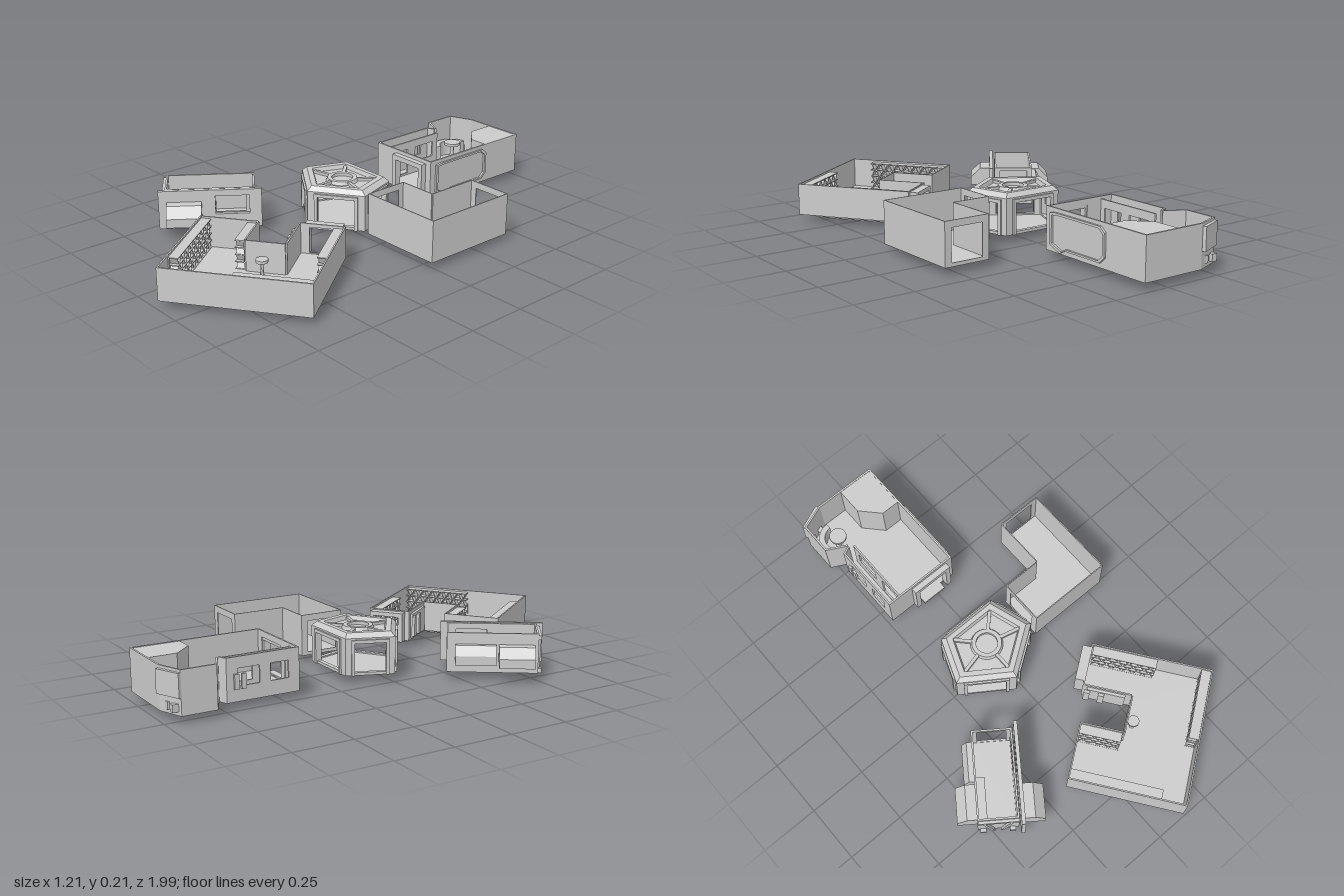
import * as THREE from 'three';

const mat = new THREE.MeshStandardMaterial({ color: 0xcccccc, flatShading: true, side: THREE.DoubleSide });
const BASE = 0.03;

function add(parent, name, geo, x = 0, y = 0, z = 0, ry = 0) {
  const m = new THREE.Mesh(geo, mat);
  m.name = name;
  m.position.set(x, y, z);
  m.rotation.y = ry;
  parent.add(m);
  return m;
}

// Box given by its two extreme corners
function box(parent, name, x0, x1, y0, y1, z0, z1) {
  return add(parent, name, new THREE.BoxGeometry(x1 - x0, y1 - y0, z1 - z0),
    (x0 + x1) / 2, (y0 + y1) / 2, (z0 + z1) / 2);
}

const outline = (pts) => new THREE.Shape(pts.map(([x, z]) => new THREE.Vector2(x, -z)));

// Horizontal slab from a plan outline of [x, z] points
function slab(parent, name, pts, y0, y1, hole) {
  const s = outline(pts);
  if (hole) s.holes.push(outline(hole));
  const g = new THREE.ExtrudeGeometry(s, { depth: y1 - y0, bevelEnabled: false, curveSegments: 20 });
  g.rotateX(-Math.PI / 2);
  return add(parent, name, g, 0, y0, 0);
}

// Upright wall from p to q, thickened inward, with openings [from, to, bottom, top]
function wall(parent, name, p, q, y0, y1, openings = [], t = 0.008) {
  const dx = q[0] - p[0], dz = q[1] - p[1], L = Math.hypot(dx, dz);
  const rect = (C, a, b, c, d) => new C([[a, c], [b, c], [b, d], [a, d]].map((v) => new THREE.Vector2(...v)));
  const s = rect(THREE.Shape, 0, L, y0, y1);
  for (const [a, b, c, d] of openings) s.holes.push(rect(THREE.Path, a * L, b * L, c, d));
  const g = new THREE.ExtrudeGeometry(s, { depth: t, bevelEnabled: false });
  return add(parent, name, g, p[0], 0, p[1], -Math.atan2(dz, dx));
}

// Open-topped room: floor plus one wall per edge (clockwise in plan)
function room(parent, pts, top, openings = {}, t) {
  slab(parent, 'floor', pts, BASE, BASE + 0.006);
  pts.forEach((p, i) => wall(parent, 'wall', p, pts[(i + 1) % pts.length], BASE, top, openings[i], t));
}

function group(parent, name, x = 0, z = 0, ry = 0) {
  const g = new THREE.Group();
  g.name = name;
  g.position.set(x, 0, z);
  g.rotation.y = ry;
  parent.add(g);
  return g;
}

// Shelf rack running along local x, depth along z
function rack(parent, x, z, ry, len, depth = 0.04, top = 0.155) {
  const r = group(parent, 'rack', x, z, ry), rows = 4, h = (top - 0.036) / rows;
  box(r, 'rackBack', 0, len, 0.036, top, 0, 0.004);
  for (let i = 0; i <= rows; i++) box(r, 'shelf', 0, len, 0.036 + i * h - 0.002, 0.036 + i * h + 0.002, 0, depth);
  const n = Math.round(len / 0.022);
  for (let j = 0; j < rows; j++) for (let i = 0; i < n; i++) {
    const b = box(r, 'divider', -0.0015, 0.0015, -h / 2, h / 2, 0, depth - 0.004);
    b.position.x = (i + 0.5) * len / n;
    b.position.y = 0.036 + (j + 0.5) * h;
    b.rotation.z = (i + j) % 2 ? 0.45 : -0.45;
  }
}

function stool(parent, x, z, r, y) {
  const s = group(parent, 'stool', x, z);
  const pts = [[0, BASE], [r * 0.7, BASE], [r * 0.25, BASE + 0.012], [r * 0.25, y - 0.02], [r, y - 0.012], [r, y], [0, y]];
  add(s, 'pedestal', new THREE.LatheGeometry(pts.map((p) => new THREE.Vector2(...p)), 20));
}

// Three-sided door surround standing along local x
function doorFrame(parent, x0, x1, z0, z1, top, w = 0.018) {
  box(parent, 'doorJamb', x0, x0 + w, BASE, top, z0, z1);
  box(parent, 'doorJamb', x1 - w, x1, BASE, top, z0, z1);
  box(parent, 'doorLintel', x0 + w, x1 - w, top - w, top, z0, z1);
}

function buildCorridor(root) {
  const g = group(root, 'cornerCorridor');
  room(g, [[0.36, -0.41], [0.56, -0.41], [0.56, 0.015], [0.19, 0.015], [0.19, -0.18], [0.36, -0.18]], 0.208,
    { 0: [[0.15, 0.85, 0.045, 0.18]], 3: [[0.15, 0.85, 0.045, 0.18]] }, 0.004);
}

function buildHub(root) {
  const g = group(root, 'hub', -0.035, -0.04);
  const P = [[-0.13, -0.14], [0.14, -0.14], [0.2, 0.05], [0, 0.19], [-0.205, 0.05]];
  const sc = (k) => P.map(([x, z]) => [x * k, z * k]);
  slab(g, 'floor', P, BASE, BASE + 0.006);
  P.forEach((p, i) => {
    const q = P[(i + 1) % 5];
    wall(g, 'doorWall', p, q, BASE, 0.185, [[0.17, 0.83, 0.042, 0.165]], 0.02);
    // raised door surround
    const a = Math.atan2(q[1] - p[1], q[0] - p[0]), L = Math.hypot(q[0] - p[0], q[1] - p[1]);
    const f = group(g, 'doorSurround', p[0], p[1], -a);
    doorFrame(f, L * 0.12, L * 0.88, -0.008, 0.004, 0.178, 0.014);
    // roof spoke
    const mx = p[0] * 0.55, mz = p[1] * 0.55;
    add(g, 'roofSpoke', new THREE.BoxGeometry(Math.hypot(...p) * 0.6, 0.012, 0.014), mx, 0.192, mz, -Math.atan2(p[1], p[0]));
  });
  slab(g, 'roofPlate', sc(0.97), 0.178, 0.186);
  // sloping roof rim built from two pentagon loops
  const v = [], idx = [];
  for (const [k, y] of [[1, 0.185], [0.88, 0.204], [0.74, 0.204], [0.7, 0.186]]) for (const [x, z] of sc(k)) v.push(x, y, z);
  for (let r = 0; r < 3; r++) for (let i = 0; i < 5; i++) {
    const a = r * 5 + i, b = r * 5 + (i + 1) % 5;
    idx.push(a, a + 5, b, b, a + 5, b + 5);
  }
  const geo = new THREE.BufferGeometry();
  geo.setAttribute('position', new THREE.Float32BufferAttribute(v, 3));
  geo.setIndex(idx);
  geo.computeVertexNormals();
  add(g, 'roofRim', geo);
  const ring = [[0.045, 0.186], [0.045, 0.2], [0.062, 0.2], [0.068, 0.186]];
  add(g, 'roofRing', new THREE.LatheGeometry(ring.map((p) => new THREE.Vector2(...p)), 24));
}

function buildStoreRoom(root) {
  const g = group(root, 'storeRoom', 0.13, 0.993, Math.PI / 5);
  const U = (d) => [[d, -0.486 + d], [0.243 - d, -0.486 + d], [0.243 - d, -0.305 + d], [0.4 + d, -0.305 + d],
    [0.4 + d, -0.51 + d], [0.586 - d, -0.51 + d], [0.586 - d, -d], [d, -d]];
  room(g, U(0), 0.165, { 4: [[0.22, 0.78, 0.04, 0.15]] }, 0.006);
  // stepped underside
  slab(g, 'underTray', U(0.068), 0.008, BASE);
  slab(g, 'underKeel', U(0.1 - 0.015), 0, 0.008);
  // entrance surround and inner side panel
  doorFrame(g, 0.42, 0.572, -0.546, -0.51, 0.16);
  box(g, 'sidePanel', 0.388, 0.4, 0.04, 0.15, -0.49, -0.33);
  for (const z of [-0.5, -0.44]) box(g, 'sideBracket', 0.376, 0.39, 0.05, 0.14, z, z + 0.025);
  rack(g, 0.006, -0.105, Math.PI / 2, 0.375);
  rack(g, 0.237, -0.48, -Math.PI / 2, 0.17);
  rack(g, 0.58, -0.5, -Math.PI / 2, 0.27);
  rack(g, 0.58, -0.006, Math.PI, 0.3);
  stool(g, 0.315, -0.275, 0.024, 0.105);
}

function buildAirlock(root) {
  const g = group(root, 'equipmentRoom', -0.37, 0.4, Math.PI * 0.3);
  room(g, [[-0.185, -0.082], [0.185, -0.082], [0.185, 0.085], [-0.185, 0.085]], 0.195,
    { 1: [[0.14, 0.86, 0.04, 0.18]], 2: [[0.1, 0.45, 0.09, 0.17]] });
  // broad plate along one side
  wall(g, 'sidePlate', [0.212, 0.092], [-0.212, 0.092], BASE, 0.197, [[0.12, 0.45, 0.09, 0.17]], -0.016);
  // side pods with a sloped top
  const pod = (x0, x1, d, z, dir) => {
    const s = new THREE.Shape([[0, 0.07], [d, 0.07], [d, 0.108], [d * 0.5, 0.148], [0, 0.148]].map((p) => new THREE.Vector2(...p)));
    const geo = new THREE.ExtrudeGeometry(s, { depth: x1 - x0, bevelEnabled: false });
    add(g, 'sidePod', geo, dir > 0 ? x0 + (x1 - x0) : x0, 0, z, dir > 0 ? -Math.PI / 2 : Math.PI / 2);
  };
  pod(-0.178, -0.035, 0.085, 0.108, 1);
  pod(-0.17, -0.025, 0.08, -0.082, -1);
  pod(-0.015, 0.15, 0.042, -0.082, -1);
  // V-braced end
  for (const s of [-1, 1]) {
    const b = add(g, 'endBrace', new THREE.BoxGeometry(0.012, 0.15, 0.012), -0.19, 0.112, s * 0.04);
    b.rotation.x = s * 0.3;
    box(g, 'endFoot', -0.2, -0.185, BASE, 0.048, s * 0.06 - 0.012, s * 0.06 + 0.012);
  }
  box(g, 'endBeam', -0.197, -0.185, 0.17, 0.186, -0.08, 0.085);
  box(g, 'bench', -0.17, 0.02, BASE, 0.075, -0.074, -0.04);
}

function buildControlRoom(root) {
  const g = group(root, 'controlRoom');
  const P = [[-0.18, -0.985], [0.1, -0.985], [0.1, -0.43], [-0.235, -0.43], [-0.235, -0.74], [-0.2, -0.755], [-0.285, -0.8], [-0.285, -0.945]];
  room(g, P, 0.206, { 2: [[0.12, 0.6, 0.04, 0.18]], 3: [[0.15, 0.4, 0.09, 0.16], [0.55, 0.85, 0.09, 0.16]] });
  doorFrame(g, -0.115, 0.07, -0.435, -0.405, 0.19, 0.022);
  box(g, 'doorStep', -0.08, 0.03, 0.03, 0.042, -0.43, -0.4);
  // inner wall beside the narrow bay
  wall(g, 'innerWall', [-0.18, -0.43], [-0.18, -0.745], BASE, 0.195, [[0.1, 0.4, 0.045, 0.16], [0.55, 0.9, 0.09, 0.16]]);
  for (const z of [-0.71, -0.68]) box(g, 'wallBox', -0.244, -0.235, 0.08, 0.14, z, z + 0.02);
  // closed corner cabin
  const C = [[-0.065, -0.98], [0.095, -0.98], [0.095, -0.78], [0.01, -0.78], [-0.065, -0.86]];
  slab(g, 'cabinRoof', C, 0.196, 0.204);
  for (const i of [2, 3, 4]) wall(g, 'cabinWall', C[i], C[(i + 1) % 5], BASE, 0.2);
  // raised contour frame on the outer side wall
  const F = [[-0.3, 0.05], [-0.27, 0.035], [-0.1, 0.035], [-0.07, 0.05], [0.13, 0.05], [0.155, 0.075], [0.155, 0.17],
    [0.13, 0.19], [-0.13, 0.19], [-0.16, 0.185], [-0.16, 0.06]].map(([x, y]) => [Math.max(x, -0.16), y]).filter((p, i) => i > 1);
  const s = new THREE.Shape(F.map((p) => new THREE.Vector2(...p)));
  s.holes.push(new THREE.Path(F.map(([x, y]) => new THREE.Vector2(x * 0.93, 0.114 + (y - 0.114) * 0.88))));
  add(g, 'sideFrame', new THREE.ExtrudeGeometry(s, { depth: 0.009, bevelEnabled: false }), 0.1, 0, -0.62, Math.PI / 2);
  // seat, its curved console and the foot below
  stool(g, -0.185, -0.86, 0.037, 0.12);
  const arc = new THREE.Shape();
  arc.absarc(0, 0, 0.082, Math.PI * 0.5, Math.PI * 1.4, false);
  arc.absarc(0, 0, 0.058, Math.PI * 1.4, Math.PI * 0.5, true);
  const ag = new THREE.ExtrudeGeometry(arc, { depth: 0.07, bevelEnabled: false, curveSegments: 16 });
  ag.rotateX(-Math.PI / 2);
  add(g, 'curvedConsole', ag, -0.185, 0.036, -0.86);
  add(g, 'foot', new THREE.CylinderGeometry(0.008, 0.008, 0.02, 12), -0.18, 0.022, -0.86);
  // sloping hood and small boxes on the rear corner
  wall(g, 'rearHood', [-0.29, -0.955], [-0.185, -1.0], 0.1, 0.195, [], 0.014);
  for (const x of [-0.26, -0.215]) box(g, 'rearBox', x - 0.012, x + 0.012, 0.045, 0.075, -0.975, -0.94);
}

export function createModel() {
  const root = new THREE.Group();
  root.name = 'roomModules';
  buildCorridor(root);
  buildHub(root);
  buildStoreRoom(root);
  buildAirlock(root);
  buildControlRoom(root);
  return root;
}
